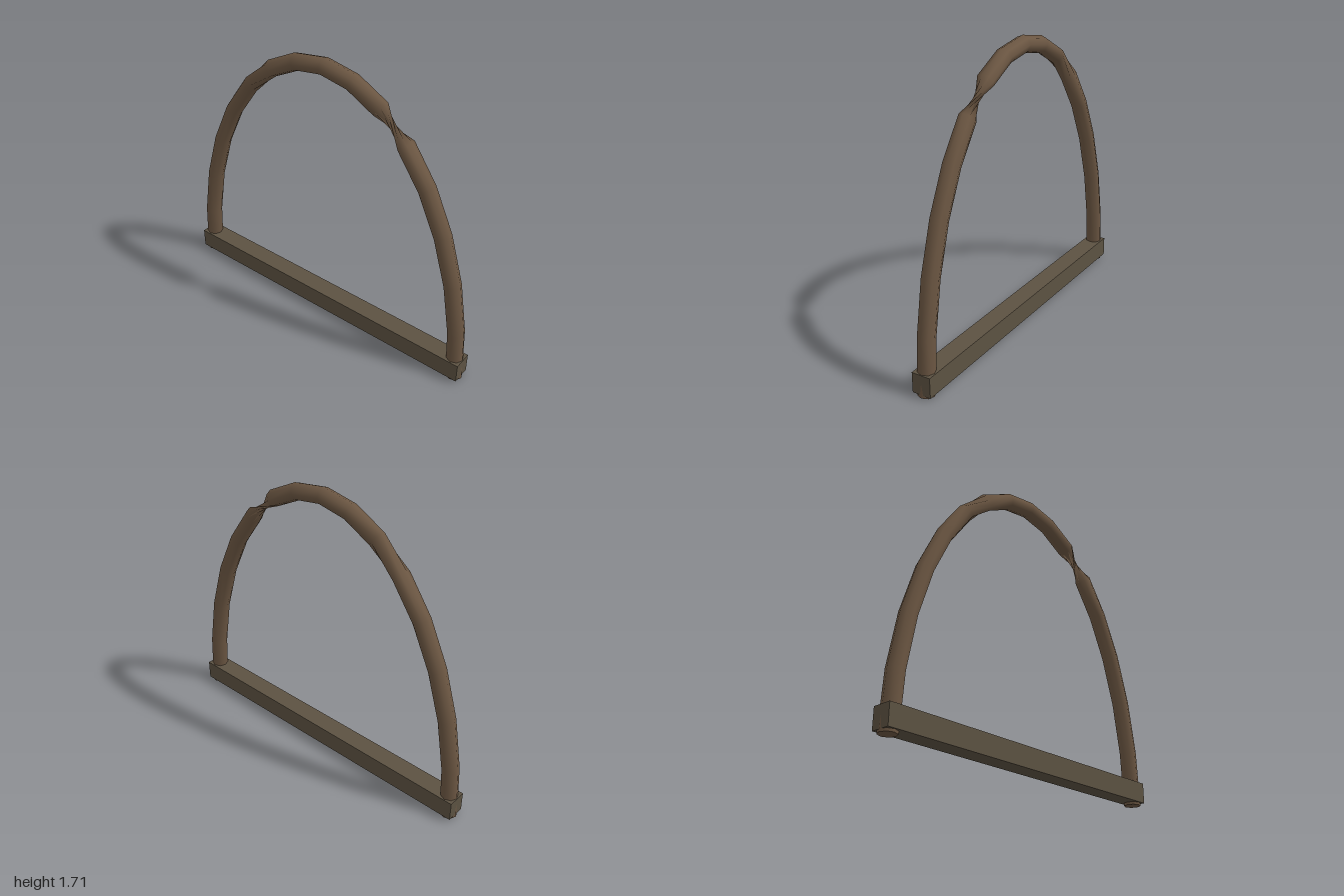
import * as THREE from 'three';

const A = 0.95, B = 1.66, R = 0.05;   // half ellipse of the arch, tube radius
const SEGS = 16, SIDES = 8;

// Half-elliptical tube whose rings roll once on each shoulder
function archGeometry() {
  const pos = [], idx = [];
  for (let i = 0; i <= SEGS; i++) {
    const a = -Math.PI / 2 + (Math.PI * i) / SEGS;
    const c = new THREE.Vector3(A * Math.sin(a), B * Math.cos(a), 0);
    const n = new THREE.Vector3(Math.sin(a) / A, Math.cos(a) / B, 0).normalize();
    // quarter turn on the right shoulder, half turn on the left one
    const roll = i < 6 ? -Math.PI / 2 : i > 10 ? Math.PI : 0;
    for (let j = 0; j < SIDES; j++) {
      const p = (2 * Math.PI * j) / SIDES + roll;
      pos.push(c.x + R * Math.cos(p) * n.x, c.y + R * Math.cos(p) * n.y, R * Math.sin(p));
    }
  }
  for (let i = 0; i < SEGS; i++) {
    for (let j = 0; j < SIDES; j++) {
      const k = (j + 1) % SIDES;
      const a = i * SIDES + j, b = a + SIDES, c = i * SIDES + k, d = c + SIDES;
      idx.push(a, c, b, c, d, b);
    }
  }
  const g = new THREE.BufferGeometry();
  g.setAttribute('position', new THREE.Float32BufferAttribute(pos, 3));
  g.setIndex(idx);
  g.computeVertexNormals();
  return g;
}

export function createModel() {
  const model = new THREE.Group();
  model.name = 'archedHandle';
  const archMat = new THREE.MeshStandardMaterial({ color: 0x6b5642, side: THREE.DoubleSide });
  const barMat = new THREE.MeshStandardMaterial({ color: 0x5c5242 });

  const add = (name, geometry, material, x, y) => {
    const mesh = new THREE.Mesh(geometry, material);
    mesh.name = name;
    mesh.position.set(x, y, 0);
    model.add(mesh);
  };

  add('arch', archGeometry(), archMat, 0, 0);

  // Caps closing the tube ends under the bar
  const cap = new THREE.CircleGeometry(R, SIDES).rotateX(Math.PI / 2);
  add('leftEndCap', cap, archMat, A, 0);
  add('rightEndCap', cap, archMat, -A, 0);

  // Straight bar across the foot of the arch
  add('crossBar', new THREE.BoxGeometry(1.99, 0.12, 0.114), barMat, 0, 0.076);

  return model;
}
